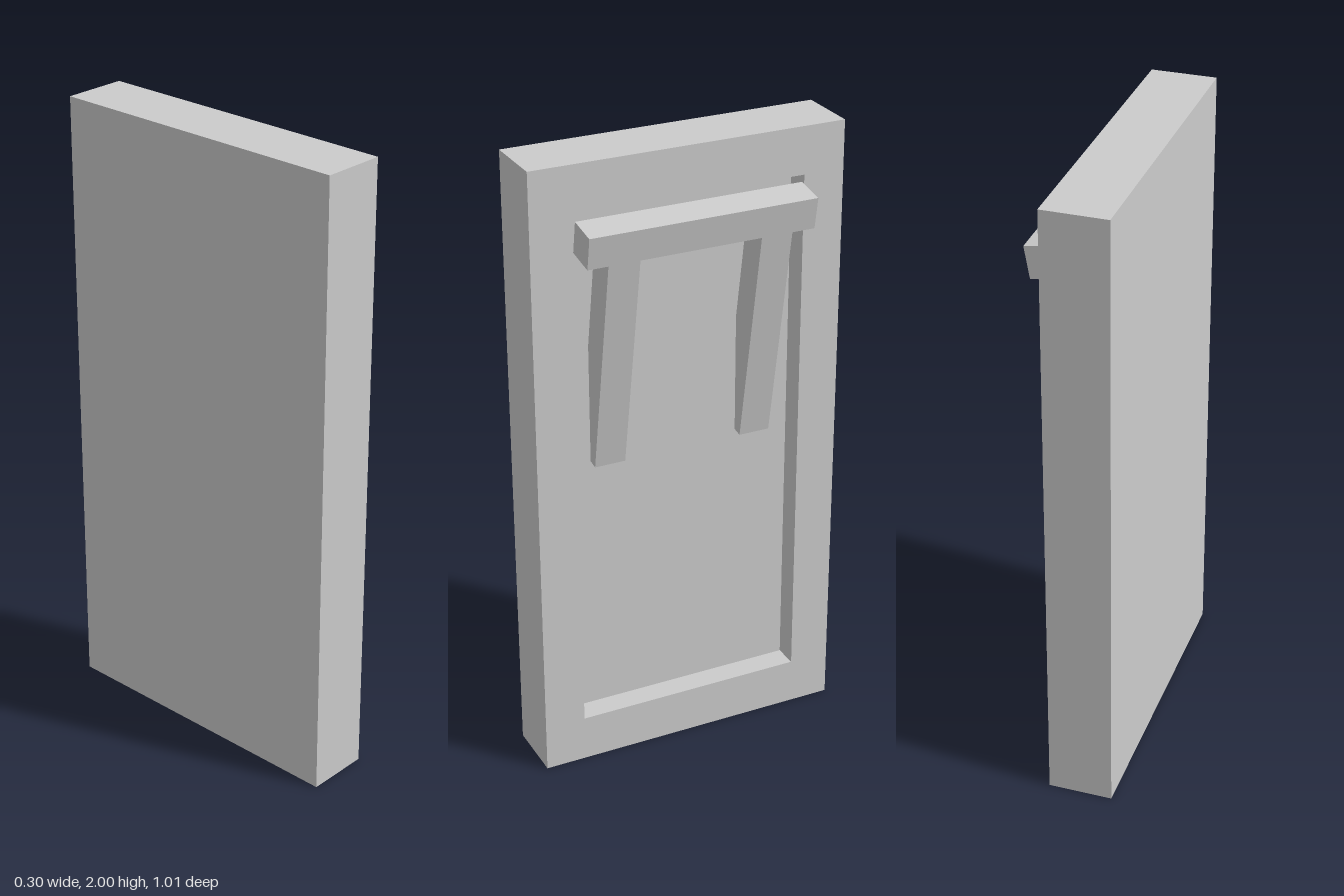
import * as THREE from 'three';

const material = new THREE.MeshStandardMaterial({ color: 0xcccccc, flatShading: true });

// Extrude an outline drawn in (-z, y) so that it spans x0..x1
function slab(name, shape, x0, x1) {
  const geometry = new THREE.ExtrudeGeometry(shape, { depth: x1 - x0, bevelEnabled: false });
  geometry.translate(0, 0, x0).rotateY(Math.PI / 2);
  const mesh = new THREE.Mesh(geometry, material);
  mesh.name = name;
  return mesh;
}

function outline(points) {
  return new THREE.Shape(points.map(([u, v]) => new THREE.Vector2(u, v)));
}

const rectangle = (u0, u1, v0, v1) => outline([[u0, v0], [u1, v0], [u1, v1], [u0, v1]]);

export function createModel() {
  const group = new THREE.Group();
  group.name = 'recessedPanel';
  const floorX = -0.025, faceX = 0.054;

  // Solid back plate, whose inner face is the recess floor
  group.add(slab('backPlate', rectangle(-0.505, 0.505, 0, 2), -0.15, floorX));

  // Raised rim around the recess
  const rim = rectangle(-0.505, 0.505, 0, 2);
  rim.holes.push(rectangle(-0.373, 0.373, 0.15, 1.85));
  group.add(slab('rim', rim, floorX, faceX));

  // Tilted bracket: a crossbar with two legs sinking into the recess floor
  const bar = -0.102, foot = -0.812;
  const bracket = slab('bracket', outline([
    [-0.363, 0], [-0.363, bar], [-0.298, bar], [-0.298, foot], [-0.198, foot], [-0.198, bar],
    [0.193, bar], [0.193, foot], [0.294, foot], [0.294, bar], [0.368, bar], [0.368, 0],
  ]), -0.1, 0);
  bracket.rotation.z = -THREE.MathUtils.degToRad(10);
  bracket.position.set(0.149, 1.81, 0);
  group.add(bracket);

  return group;
}
